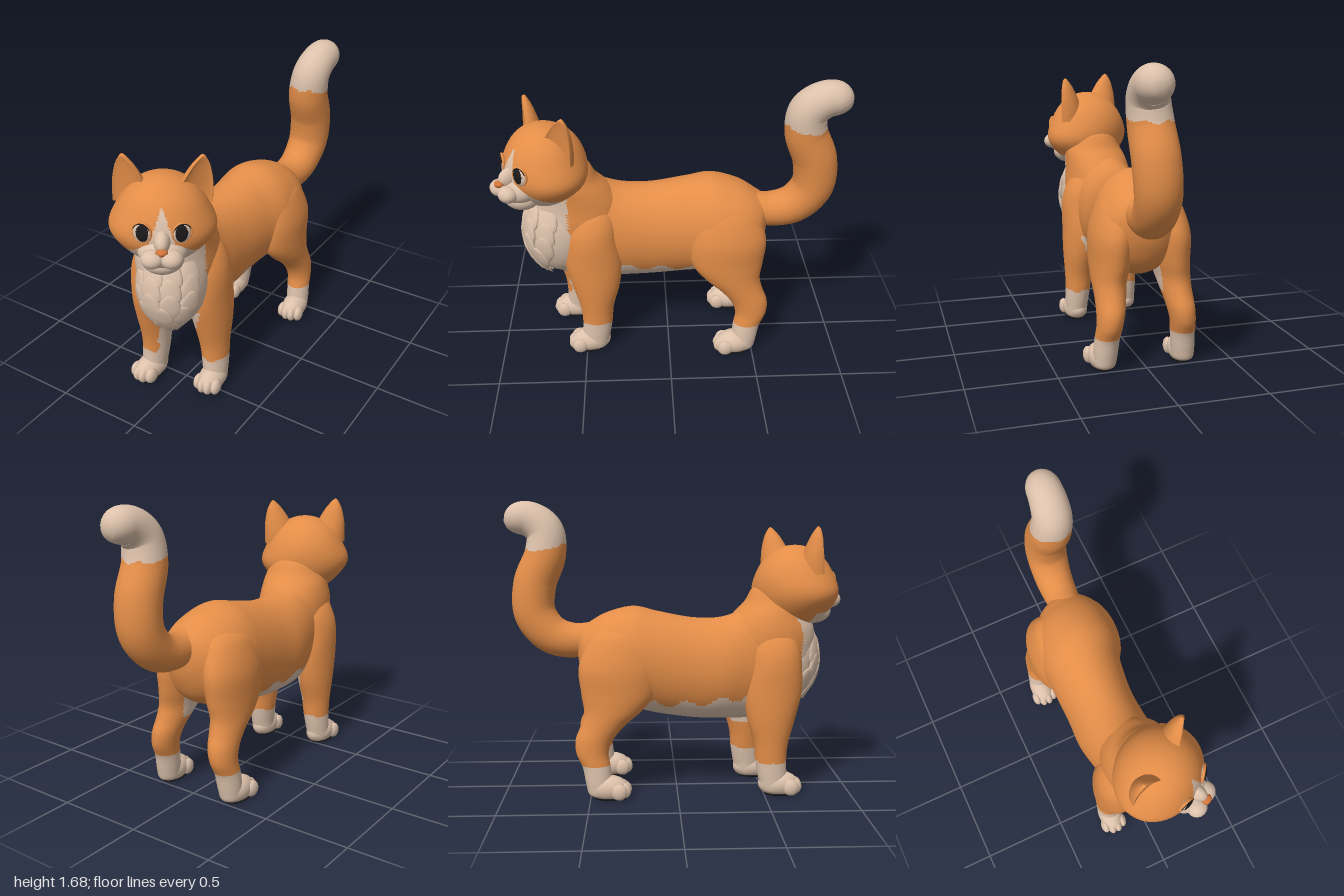
import * as THREE from 'three';
import { mergeVertices } from 'three/addons/utils/BufferGeometryUtils.js';

const flat = (name, color) => Object.assign(new THREE.MeshStandardMaterial({ color }), { name });

export function createModel() {
  const orange = flat('orange fur', 0xe38d48);
  const cream = flat('cream fur', 0xdcc1ab);
  const black = flat('black', 0x1c1a1a);
  const noseOrange = flat('nose orange', 0xd2763a);
  const cat = new THREE.Group();
  cat.name = 'cat';

  // Moves every vertex by a rule
  function warp(geo, rule) {
    const p = geo.attributes.position, v = new THREE.Vector3();
    for (let i = 0; i < p.count; i++) {
      v.fromBufferAttribute(p, i);
      rule(v, i);
      p.setXYZ(i, v.x, v.y, v.z);
    }
    return geo;
  }

  // Smooth mesh; where rule(centroid) is true the second colour is used
  function part(parent, name, geo, first, second, rule) {
    geo.deleteAttribute('uv');
    geo.deleteAttribute('normal');
    const g = mergeVertices(geo, 1e-5);
    g.computeVertexNormals();
    let material = first;
    if (rule) {
      const p = g.attributes.position, old = g.index.array, sets = [[], []];
      const c = new THREE.Vector3(), v = new THREE.Vector3();
      for (let i = 0; i < old.length; i += 3) {
        c.set(0, 0, 0);
        for (let k = 0; k < 3; k++) c.add(v.fromBufferAttribute(p, old[i + k]));
        sets[rule(c.divideScalar(3)) ? 1 : 0].push(old[i], old[i + 1], old[i + 2]);
      }
      g.setIndex(sets[0].concat(sets[1]));
      g.addGroup(0, sets[0].length, 0);
      g.addGroup(sets[0].length, sets[1].length, 1);
      material = [first, second];
    }
    const mesh = new THREE.Mesh(g, material);
    mesh.name = name;
    parent.add(mesh);
    return mesh;
  }

  // Ellipsoid from centre and radii
  const ball = (x, y, z, rx, ry, rz, seg = 28) =>
    new THREE.SphereGeometry(1, seg, Math.round(seg * 0.75)).scale(rx, ry, rz).translate(x, y, z);

  // Smooth loft through ellipses: [z, x, y, rx, ry] rising in z, or [y, x, z, rx, rz] falling in y
  function loft(sections, axis, around, rows) {
    const pos = [], index = [], n = sections.length - 1;
    const at = i => sections[Math.min(n, Math.max(0, i))];
    for (let r = 0; r <= rows; r++) {
      const f = r / rows * n, i = Math.min(n - 1, Math.floor(f)), t = f - i;
      const [s, a, b, ra, rb] = at(i).map((p1, k) => {
        const p0 = at(i - 1)[k], p2 = at(i + 1)[k], p3 = at(i + 2)[k];
        return p1 + 0.5 * t * (p2 - p0 + t * (2 * p0 - 5 * p1 + 4 * p2 - p3 + t * (3 * (p1 - p2) + p3 - p0)));
      });
      for (let j = 0; j < around; j++) {
        const q = j / around * Math.PI * 2;
        const u = a + Math.max(ra, 0.0005) * Math.cos(q), w = b + Math.max(rb, 0.0005) * Math.sin(q);
        if (axis === 'z') pos.push(u, w, s); else pos.push(u, s, w);
        if (r === rows) continue;
        const k = r * around + j, m = r * around + (j + 1) % around;
        index.push(k, m, k + around, m, m + around, k + around);
      }
    }
    const g = new THREE.BufferGeometry();
    g.setAttribute('position', new THREE.Float32BufferAttribute(pos, 3));
    g.setIndex(index);
    return g;
  }

  // Torso with a ragged cream belly and chest
  const torso = loft([
    [-0.58, 0.02, 0.82, 0, 0], [-0.56, 0.02, 0.82, 0.11, 0.12], [-0.5, 0.02, 0.785, 0.19, 0.205],
    [-0.4, 0.01, 0.78, 0.235, 0.265], [-0.25, 0, 0.78, 0.245, 0.3], [-0.1, -0.02, 0.75, 0.22, 0.3],
    [0.1, -0.03, 0.72, 0.205, 0.295], [0.27, -0.03, 0.72, 0.21, 0.3], [0.45, -0.01, 0.75, 0.2, 0.33],
    [0.6, 0, 0.77, 0.185, 0.31], [0.72, 0.02, 0.79, 0.16, 0.24], [0.79, 0.03, 0.8, 0.11, 0.15], [0.82, 0.03, 0.8, 0, 0],
  ], 'z', 88, 108);
  part(cat, 'torso', torso, orange, cream, v =>
    (v.z < 0.5 && v.z > -0.4 && v.y < 0.535 + 0.15 * Math.max(0, v.z - 0.1) + 0.022 * Math.sin(v.z * 32)) ||
    (v.z > 0.56 + 0.02 * Math.sin(v.y * 40) && v.x > -0.14) || (v.z >= 0.5 && v.y < 0.55));

  // Neck sloping into the shoulders, cream at the throat
  const neck = loft([
    [1.24, 0.03, 0.64, 0, 0], [1.2, 0.03, 0.62, 0.13, 0.15], [1.1, 0.025, 0.59, 0.175, 0.19], [1.03, 0.01, 0.555, 0.19, 0.225],
    [0.95, 0, 0.54, 0.2, 0.265], [0.85, 0, 0.53, 0.205, 0.275], [0.72, 0, 0.52, 0.19, 0.25], [0.65, 0, 0.52, 0.1, 0.1],
  ], 'y', 72, 40);
  part(cat, 'neck', neck, orange, cream, v => v.z > 0.57 && v.y < 1.06 && v.x > -0.15);

  // Chest ruff: cream mass covered by rows of pointed tufts
  const ruff = new THREE.Group();
  ruff.name = 'chestRuff';
  cat.add(ruff);
  part(ruff, 'ruffBase', ball(0.035, 0.78, 0.62, 0.177, 0.28, 0.218, 40), cream);
  const rows = [[0.4, 5, 1.2], [0.08, 5, 1.15], [-0.25, 5, 1.1], [-0.55, 4, 0.85], [-0.85, 2, 0.35]];
  for (const [lift, count, spread] of rows) {
    for (let i = 0; i < count; i++) {
      const turn = spread * (2 * i / (count - 1) - 1);
      const geo = warp(new THREE.SphereGeometry(1, 16, 14), v => {
        const k = v.y < 0 ? 1 + 0.8 * v.y : 1;
        v.set(v.x * 0.064 * k, v.y * 0.115, v.z * 0.02 * k);
      });
      const tuft = part(ruff, 'tuft', geo, cream);
      tuft.position.set(0.035 + 0.173 * Math.cos(lift) * Math.sin(turn), 0.76 + 0.265 * Math.sin(lift),
        0.62 + 0.214 * Math.cos(lift) * Math.cos(turn));
      tuft.rotation.set(-lift * 0.75, turn, -turn * 0.1, 'YXZ');
    }
  }

  // Paw with four toes and a dark sole
  function paw(parent, x, z, s) {
    const g = new THREE.Group();
    g.name = 'paw';
    g.position.set(x, 0, z);
    g.rotation.y = s * 0.08;
    parent.add(g);
    const floor = v => { v.y = Math.max(v.y, 0.008); };
    part(g, 'foot', warp(ball(0, 0.06, 0, 0.074, 0.075, 0.118), floor), cream);
    for (let i = 0; i < 4; i++) {
      const k = i - 1.5, side = Math.abs(k) > 1;
      part(g, 'toe', warp(ball(k * 0.037, 0.05, side ? 0.068 : 0.088, 0.027, 0.048, 0.046, 18), floor), cream);
    }
    part(g, 'sole', new THREE.CylinderGeometry(1, 0.95, 0.01, 28).scale(0.06, 1, 0.098).translate(0, 0.005, 0.012), black);
  }

  // Legs: [y, x, z, rx, rz] for the left side, mirrored by s
  const frontLeg = [
    [0.98, 0.09, 0.46, 0, 0], [0.93, 0.1, 0.455, 0.075, 0.11], [0.85, 0.117, 0.45, 0.108, 0.145], [0.75, 0.13, 0.45, 0.118, 0.155],
    [0.6, 0.14, 0.44, 0.11, 0.165], [0.45, 0.15, 0.43, 0.1, 0.14], [0.3, 0.157, 0.43, 0.085, 0.1],
    [0.2, 0.162, 0.43, 0.077, 0.09], [0.1, 0.168, 0.44, 0.07, 0.083], [0.02, 0.17, 0.45, 0.06, 0.07], [0.015, 0.17, 0.45, 0, 0]];
  const hindLeg = [
    [0.99, 0.11, -0.33, 0, 0], [0.96, 0.115, -0.33, 0.06, 0.11], [0.9, 0.132, -0.33, 0.1, 0.175], [0.75, 0.16, -0.34, 0.118, 0.222],
    [0.6, 0.17, -0.34, 0.11, 0.21], [0.5, 0.183, -0.37, 0.095, 0.165], [0.42, 0.19, -0.425, 0.085, 0.128],
    [0.34, 0.2, -0.475, 0.077, 0.108], [0.26, 0.21, -0.488, 0.07, 0.092], [0.18, 0.218, -0.465, 0.068, 0.08],
    [0.08, 0.225, -0.45, 0.066, 0.075], [0.02, 0.228, -0.44, 0.055, 0.065], [0.015, 0.228, -0.44, 0, 0]];
  for (const s of [1, -1]) {
    const side = s > 0 ? 'left' : 'right', dx = s < 0 ? -0.015 : 0, dz = s < 0 ? 0.11 : 0;
    const place = (list, ox, oz) => list.map(([y, x, z, rx, rz]) => [y, s * x + ox, z + oz, rx, rz]);
    const front = new THREE.Group(), hind = new THREE.Group();
    front.name = side + 'FrontLeg';
    hind.name = side + 'HindLeg';
    cat.add(front, hind);
    part(front, 'leg', loft(place(frontLeg, dx, dz), 'y', 44, 72), orange, cream, v => {
      const inner = s < 0 ? v.x > -0.122 - 0.012 * Math.sin(v.y * 45) && v.z < 0.61
        : v.y > 0.36 && v.x < 0.09 + 0.4 * (v.y - 0.36);
      return v.y < 0.2 + 0.008 * Math.sin(v.x * 60) || (inner && v.y < 0.58);
    });
    paw(front, s * 0.172 + dx, 0.475 + dz, s);
    part(hind, 'leg', loft(place(hindLeg, 0, 0), 'y', 44, 72), orange, cream, v =>
      v.y < 0.19 || (s * v.x < 0.15 && v.y > 0.42 && v.y < 0.6 && v.z > -0.45));
    paw(hind, s * 0.232, -0.4, s);
  }

  // Tail: tube along a curve, thicker in the middle, round at the tip
  const path = new THREE.CatmullRomCurve3([
    [0.04, 0.9, -0.45], [0.04, 0.875, -0.6], [0.045, 0.91, -0.73], [0.055, 1.03, -0.825], [0.065, 1.2, -0.825],
    [0.075, 1.38, -0.76], [0.09, 1.51, -0.765], [0.1, 1.58, -0.86], [0.1, 1.565, -1.0],
  ].map(p => new THREE.Vector3(...p)));
  const steps = 100, sides = 36, centre = new THREE.Vector3();
  const tail = warp(new THREE.TubeGeometry(path, steps, 1, sides), (v, i) => {
    const t = Math.floor(i / (sides + 1)) / steps;
    path.getPointAt(t, centre);
    const round = t > 0.91 ? Math.sqrt(Math.max(0, 1 - ((t - 0.91) / 0.09) ** 2)) : 1;
    v.sub(centre).multiplyScalar((0.088 + 0.036 * Math.sin(Math.PI * t)) * round).add(centre);
  });
  part(cat, 'tail', tail, orange, cream, v => v.y > 1.415 + 0.008 * Math.sin(v.x * 60) + 0.15 * (v.z + 0.76));

  // Head, turned to its left
  const head = new THREE.Group();
  head.name = 'head';
  head.position.set(0.03, 1.19, 0.695);
  head.rotation.set(0, 0.61, -0.03, 'YXZ');
  cat.add(head);
  const skull = warp(new THREE.SphereGeometry(1, 108, 76), v => {
    const cheek = Math.exp(-(((v.y + 0.2) / 0.4) ** 2));
    v.set(v.x * (0.24 + 0.038 * cheek), v.y * (v.y < 0 ? 0.245 : 0.24), v.z * (v.z < 0 ? 0.235 : 0.215 + 0.015 * cheek));
  });
  part(head, 'skull', skull, orange, cream, v => {
    const x = Math.abs(v.x);
    const cheeks = v.z > -0.02 && v.y < -0.045 - 0.85 * Math.max(0, x - 0.085);
    return cheeks || (v.z > 0 && v.y < 0.15 && x < 0.36 * (0.15 - v.y) && x < 0.07);
  });
  part(head, 'muzzle', ball(0, -0.095, 0.165, 0.125, 0.085, 0.115), cream);
  part(head, 'chin', ball(0, -0.155, 0.15, 0.11, 0.075, 0.105), cream);
  part(head, 'nose', warp(ball(0, -0.042, 0.287, 0.031, 0.02, 0.024, 24), v => { if (v.y < -0.042) v.x *= 0.6; }), noseOrange);
  part(head, 'noseBridge', ball(0, -0.02, 0.215, 0.042, 0.06, 0.07), cream);
  for (const s of [1, -1]) {
    const side = s > 0 ? 'left' : 'right';
    part(head, side + 'MuzzleLobe', ball(s * 0.047, -0.092, 0.26, 0.058, 0.048, 0.055), cream);

    // Eye with painted pupil, thin orange lid and dark lash
    const eye = new THREE.Group();
    eye.name = side + 'Eye';
    eye.position.set(s * 0.097, 0.022, 0.205);
    eye.rotation.y = s * 0.33;
    head.add(eye);
    part(eye, 'eyeball', ball(0, 0, 0, 0.047, 0.054, 0.02, 52), cream, black,
      v => v.z > 0 && ((v.x + s * 0.006) / 0.031) ** 2 + ((v.y - 0.004) / 0.046) ** 2 < 1);
    part(eye, 'lidRim', new THREE.TorusGeometry(1, 0.1, 10, 40).scale(0.048, 0.055, 0.08), orange);
    part(eye, 'lash', new THREE.TorusGeometry(1, 0.06, 8, 28, 2.2).rotateZ(0.47).scale(0.046, 0.052, 0.12).translate(0, 0, 0.005), black);

    // Broad ear turned outward, with a hollow front
    const ear = loft([
      [0.25, s * 0.045, 0, 0, 0], [0.237, s * 0.043, 0, 0.017, 0.014], [0.19, s * 0.033, 0, 0.05, 0.04],
      [0.12, s * 0.018, 0, 0.08, 0.066], [0.05, s * 0.005, 0, 0.097, 0.085], [-0.02, 0, 0, 0.1, 0.09],
    ], 'y', 44, 36);
    warp(ear, v => { if (v.z > 0.012) v.z = 0.012 - (v.z - 0.012) * 0.3; });
    const earMesh = part(head, side + 'Ear', ear, orange);
    earMesh.position.set(s * 0.155, 0.095, 0.01);
    earMesh.rotation.y = s * 0.4;
  }
  return cat;
}
